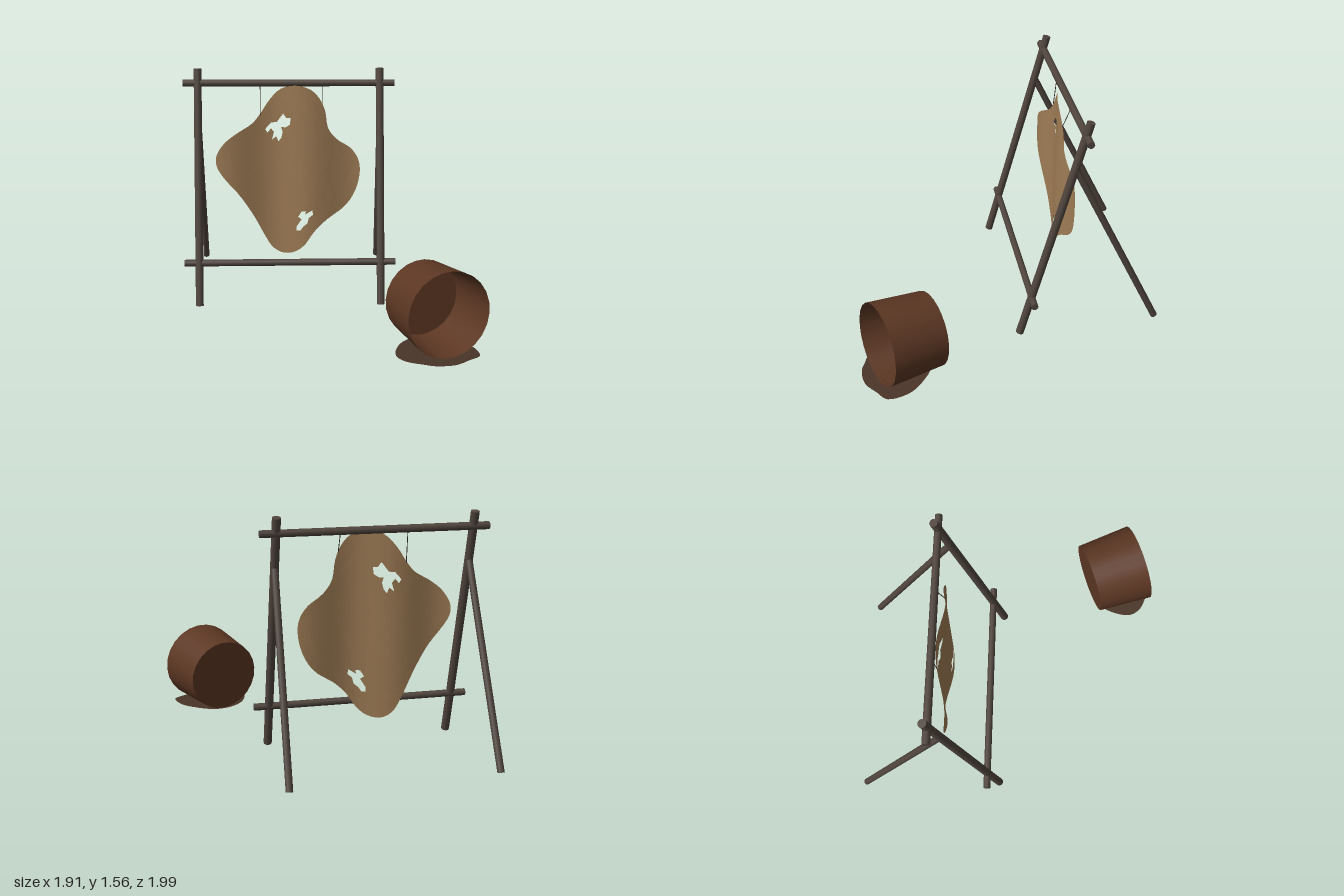
import * as THREE from 'three';
import { mergeVertices } from 'three/addons/utils/BufferGeometryUtils.js';

const mat = (name, color, extra = {}) => Object.assign(new THREE.MeshStandardMaterial({ color, ...extra }), { name });
const V = (x, y, z) => new THREE.Vector3(x, y, z);
const UP = V(0, 1, 0);

// Tapered round bar between two points
function bar(name, a, b, r0, r1, material, sides = 10, open = false) {
  const dir = b.clone().sub(a);
  const mesh = new THREE.Mesh(new THREE.CylinderGeometry(r1, r0, dir.length(), sides, 1, open), material);
  mesh.position.copy(a).add(b).multiplyScalar(0.5);
  mesh.quaternion.setFromUnitVectors(UP, dir.normalize());
  mesh.name = name;
  return mesh;
}

// Closed smooth outline through [u, v] pairs
const outline = (pts, n) => new THREE.CatmullRomCurve3(pts.map(([x, y]) => V(x, y, 0)), true)
  .getPoints(n).slice(0, -1).map(p => new THREE.Vector2(p.x, p.y));

// Split the longest edge of each triangle until all edges are short
function subdivide(geometry, max) {
  const p = geometry.toNonIndexed().attributes.position;
  const stack = [], out = [];
  for (let i = 0; i < p.count; i += 3) {
    stack.push([0, 1, 2].map(k => new THREE.Vector3().fromBufferAttribute(p, i + k)));
  }
  while (stack.length) {
    const t = stack.pop();
    const len = [0, 1, 2].map(k => t[k].distanceTo(t[(k + 1) % 3]));
    const longest = Math.max(...len);
    if (longest <= max) { out.push(...t); continue; }
    const k = len.indexOf(longest);
    const a = t[k], b = t[(k + 1) % 3], c = t[(k + 2) % 3];
    const m = a.clone().add(b).multiplyScalar(0.5);
    stack.push([a, m, c], [m, b, c]);
  }
  return mergeVertices(new THREE.BufferGeometry().setFromPoints(out), 1e-5);
}

// Depth of the rippled hide across its width
const ripple = x => -0.414 + 0.025 * Math.cos((x + 0.1) * Math.PI * 2 / 0.57);

function hide(material) {
  const shape = new THREE.Shape(outline([
    [-0.2, 1.455], [-0.1, 1.43], [-0.04, 1.37], [0, 1.28], [0.02, 1.16], [0.08, 1.08], [0.18, 1.01],
    [0.23, 0.93], [0.24, 0.84], [0.21, 0.71], [0.14, 0.6], [0, 0.5], [-0.08, 0.42], [-0.15, 0.32],
    [-0.22, 0.27], [-0.3, 0.26], [-0.37, 0.3], [-0.42, 0.38], [-0.5, 0.54], [-0.6, 0.7], [-0.7, 0.82],
    [-0.745, 0.9], [-0.745, 0.97], [-0.69, 1.06], [-0.6, 1.13], [-0.5, 1.19], [-0.44, 1.26],
    [-0.38, 1.35], [-0.3, 1.43]], 88));
  // Ragged tears
  const tears = [
    [[-0.41, 1.15], [-0.37, 1.195], [-0.33, 1.2], [-0.285, 1.26], [-0.265, 1.23], [-0.235, 1.23],
      [-0.24, 1.185], [-0.27, 1.165], [-0.3, 1.165], [-0.29, 1.13], [-0.3, 1.09], [-0.32, 1.065],
      [-0.335, 1.1], [-0.365, 1.075], [-0.35, 1.13], [-0.37, 1.155], [-0.395, 1.125]],
    [[-0.2, 0.43], [-0.2, 0.46], [-0.165, 0.515], [-0.19, 0.53], [-0.165, 0.57], [-0.135, 0.575],
      [-0.14, 0.55], [-0.09, 0.58], [-0.085, 0.55], [-0.115, 0.525], [-0.125, 0.485], [-0.155, 0.46],
      [-0.175, 0.43]]];
  for (const t of tears) shape.holes.push(new THREE.Path(t.map(([x, y]) => new THREE.Vector2(x, y))));
  const g = subdivide(new THREE.ShapeGeometry(shape), 0.06);
  const p = g.attributes.position;
  for (let i = 0; i < p.count; i++) p.setZ(i, ripple(p.getX(i)));
  g.computeVertexNormals();
  const mesh = new THREE.Mesh(g, material);
  mesh.name = 'hide';
  return mesh;
}

export function createModel() {
  const wood = mat('dark wood', 0x50453d);
  const leather = mat('tan hide', 0xa07d56, { side: THREE.DoubleSide });
  const tub = mat('brown tub', 0x5c3723, { side: THREE.DoubleSide });
  const spill = mat('dark spill', 0x4a3528, { side: THREE.DoubleSide });
  const cord = mat('cord', 0x2e2823);
  const model = new THREE.Group();
  model.name = 'hideRack';

  // Frame: leaning posts with splayed rear legs
  const frame = new THREE.Group();
  frame.name = 'frame';
  for (const [side, x, foot] of [['right', -0.86, -0.89], ['left', 0.37, 0.403]]) {
    frame.add(bar(side + 'Post', V(x, 0.01, -0.062), V(x, 1.56, -0.475), 0.027, 0.027, wood));
    frame.add(bar(side + 'RearLeg', V(foot, 0.052, -0.975), V(x, 1.24, -0.4), 0.022, 0.022, wood));
  }
  // Crossbars
  frame.add(bar('topBar', V(-0.96, 1.467, -0.455), V(0.47, 1.463, -0.455), 0.025, 0.023, wood));
  frame.add(bar('bottomBar', V(-0.96, 0.29, -0.14), V(0.47, 0.29, -0.14), 0.023, 0.023, wood));
  model.add(frame);

  // Hanging hide and its cords
  model.add(hide(leather));
  for (const [x, y] of [[-0.44, 1.25], [-0.02, 1.325]]) {
    model.add(bar('hangingCord', V(x, y, ripple(x)), V(x, 1.46, -0.455), 0.0025, 0.0025, cord, 6));
  }

  // Tipped-over tub: open wall and base disc
  const base = V(0.57, 0.302, 0.545), mouth = V(0.695, 0.325, 0.89);
  const wall = bar('tubWall', base, mouth, 0.243, 0.268, tub, 24, true);
  const disc = new THREE.Mesh(new THREE.CircleGeometry(0.243, 24), tub);
  disc.name = 'tubBase';
  disc.rotation.x = Math.PI / 2;
  disc.position.y = -base.distanceTo(mouth) / 2;
  wall.add(disc);
  model.add(wall);

  // Spill under the tub
  const puddle = new THREE.Mesh(new THREE.ShapeGeometry(new THREE.Shape(outline([
    [0.39, -0.85], [0.44, -0.93], [0.54, -0.975], [0.61, -0.998], [0.73, -0.985], [0.82, -0.92],
    [0.89, -0.86], [0.86, -0.72], [0.76, -0.62], [0.64, -0.56], [0.53, -0.58], [0.43, -0.68]], 60))), spill);
  puddle.name = 'spill';
  puddle.rotation.x = -Math.PI / 2;
  puddle.position.y = 0.053;
  model.add(puddle);
  return model;
}
